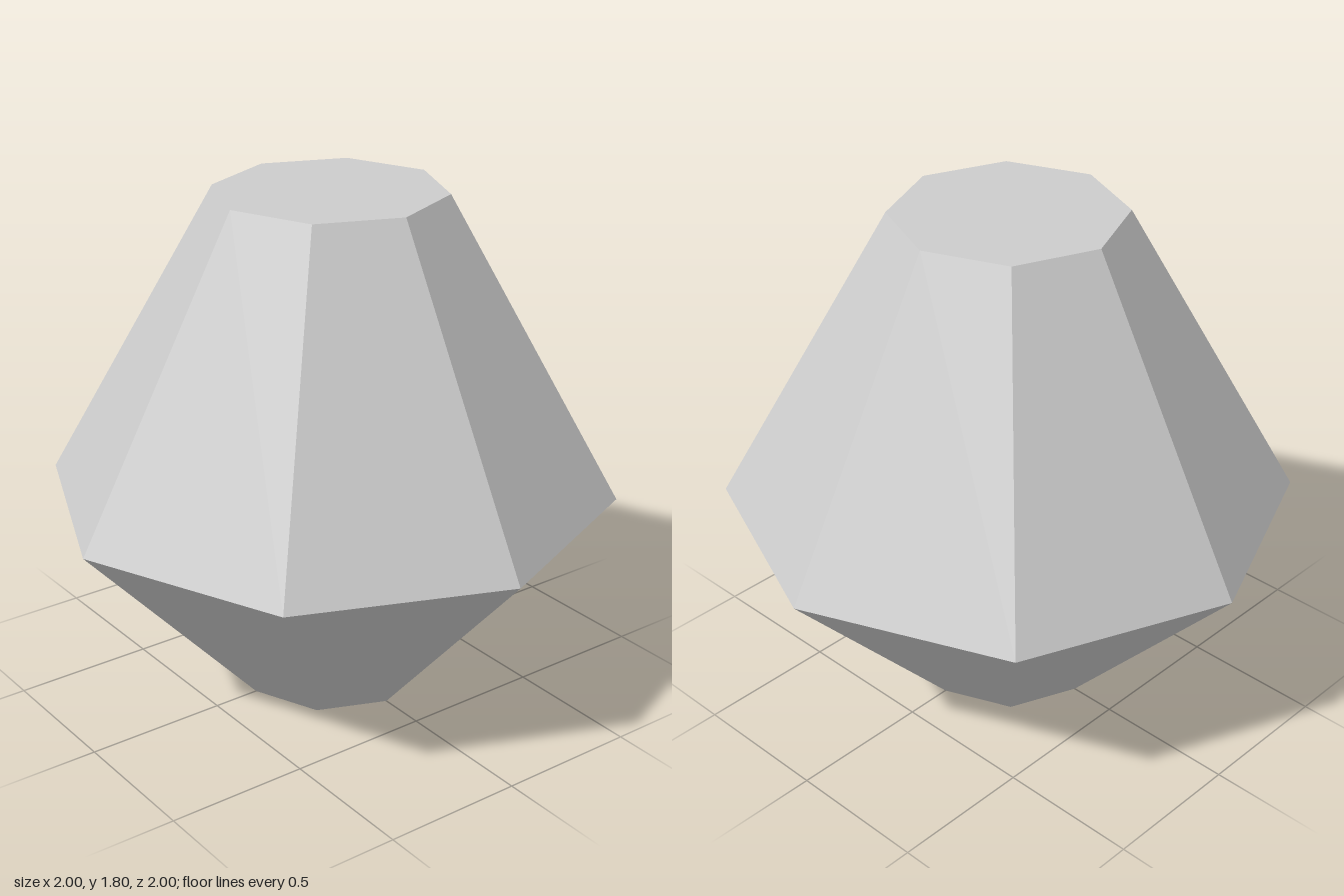
import * as THREE from 'three';

const SIDES = 8;
const GIRDLE = [1, 0.735];

export function createModel() {
  const model = new THREE.Group();
  model.name = 'cutGem';

  const stoneGrey = new THREE.MeshStandardMaterial({ color: 0xcccccc, flatShading: true });
  stoneGrey.name = 'stoneGrey';

  // Eight-sided band from a [radius, height] profile, listed bottom to top
  const addFacets = (name, profile) => {
    const points = profile.map(([r, y]) => new THREE.Vector2(r, y));
    const mesh = new THREE.Mesh(new THREE.LatheGeometry(points, SIDES), stoneGrey);
    mesh.name = name;
    model.add(mesh);
  };

  // Flat octagonal cap, turned to face up or down
  const addCap = (name, radius, y, tilt) => {
    const geometry = new THREE.CircleGeometry(radius, SIDES).rotateX(tilt);
    const mesh = new THREE.Mesh(geometry, stoneGrey);
    mesh.name = name;
    mesh.position.y = y;
    model.add(mesh);
  };

  addFacets('lowerFacets', [[0.333, 0], GIRDLE]);
  addFacets('upperFacets', [GIRDLE, [0.4, 1.8]]);
  addCap('topFace', 0.4, 1.8, -Math.PI / 2);
  addCap('bottomFace', 0.333, 0, Math.PI / 2);

  return model;
}
